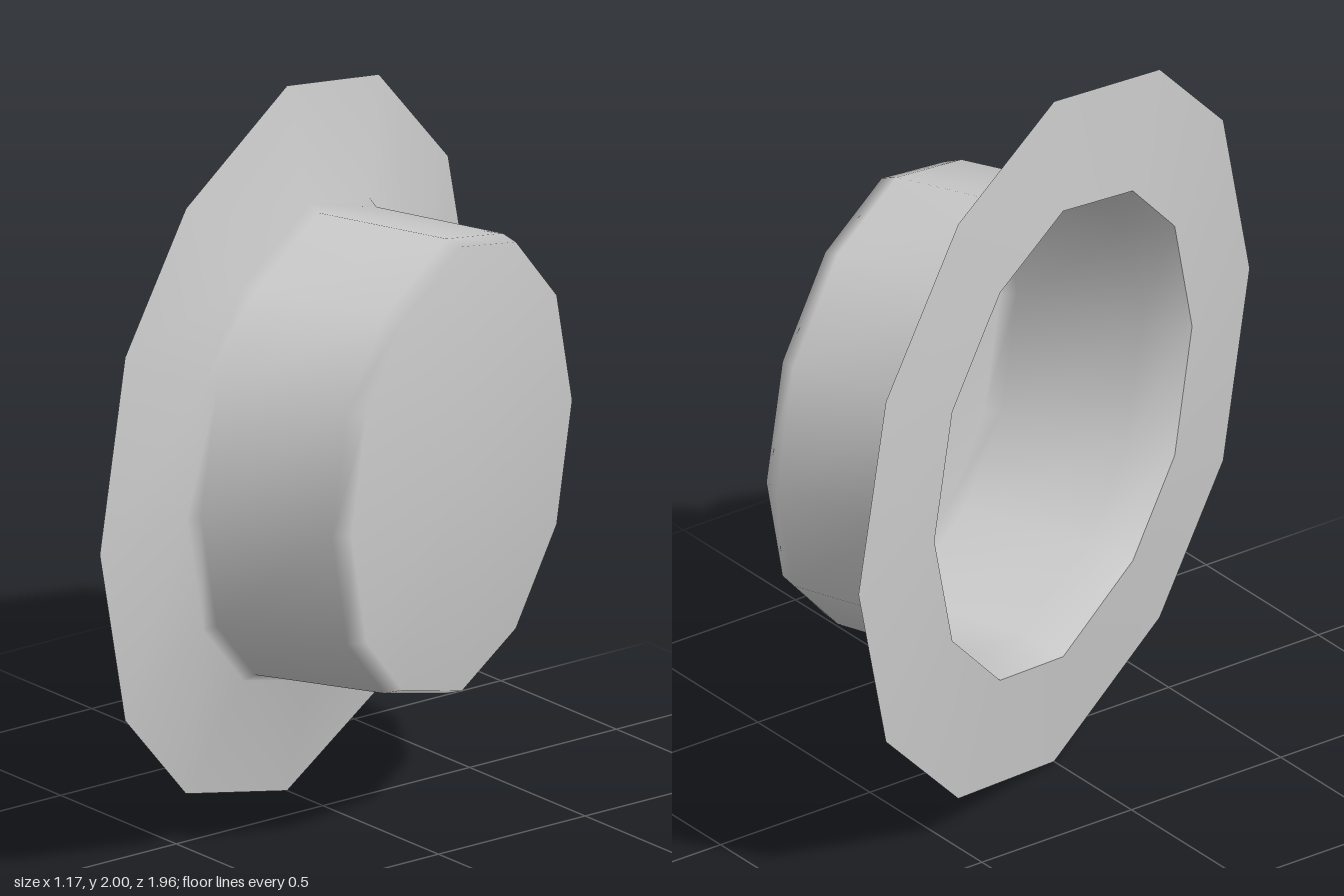
import * as THREE from 'three';
import { mergeVertices } from 'three/addons/utils/BufferGeometryUtils.js';

// One half of the slightly uneven twelve-sided outline, as [across, up]; the other half mirrors it.
const HALF = [[1, 0], [0.865, 0.515], [0.54, 0.83], [0, 1], [-0.49, 0.87], [-0.86, 0.515], [-1, 0]];
const OUTLINE = [...HALF, ...HALF.slice(1, -1).reverse().map(([a, b]) => [a, -b])];

// Skins a list of rings [height along axis, half width, half height]; a zero width ring is a pole.
function skin(rings) {
  const n = OUTLINE.length;
  const positions = [];
  const index = [];
  for (const [h, w, t] of rings) {
    for (const [a, b] of OUTLINE) positions.push(h, b * t, a * w);
  }
  for (let i = 0; i < rings.length - 1; i++) {
    for (let j = 0; j < n; j++) {
      const k = (j + 1) % n;
      const a = i * n + j, b = i * n + k, c = a + n, d = b + n;
      if (rings[i + 1][1] > 0) index.push(a, c, d);
      if (rings[i][1] > 0) index.push(a, rings[i + 1][1] > 0 ? d : c, b);
    }
  }
  let geometry = new THREE.BufferGeometry();
  geometry.setAttribute('position', new THREE.Float32BufferAttribute(positions, 3));
  geometry.setIndex(index);
  geometry = mergeVertices(geometry, 1e-5);
  geometry.computeVertexNormals();
  return geometry;
}

export function createModel() {
  const model = new THREE.Group();
  model.name = 'hat';
  const felt = new THREE.MeshStandardMaterial({ color: 0xc8c8c8 });
  felt.name = 'grey felt';

  // The hat's axis is local x, turned towards the back.
  const hat = new THREE.Group();
  hat.name = 'tiltedHat';
  hat.position.set(-0.155, 1, 0);
  hat.rotation.y = 0.416;
  model.add(hat);

  const add = (name, rings) => {
    const mesh = new THREE.Mesh(skin(rings), felt);
    mesh.name = name;
    hat.add(mesh);
  };

  // Upper brim, fillet, crown wall, rounded edge and shallow dome
  add('brimAndCrown', [
    [0, 1.07, 1], [0.068, 0.7, 0.675], [0.096, 0.672, 0.655],
    [0.483, 0.656, 0.645], [0.53, 0.63, 0.63], [0.555, 0, 0],
  ]);

  // Underside of the brim
  add('brimUnderside', [[-0.028, 0.705, 0.675], [0, 1.07, 1]]);

  // Hollow inside of the crown
  add('lining', [
    [0.535, 0, 0], [0.51, 0.61, 0.61], [0.47, 0.637, 0.625],
    [0.098, 0.655, 0.638], [-0.028, 0.705, 0.675],
  ]);

  return model;
}
